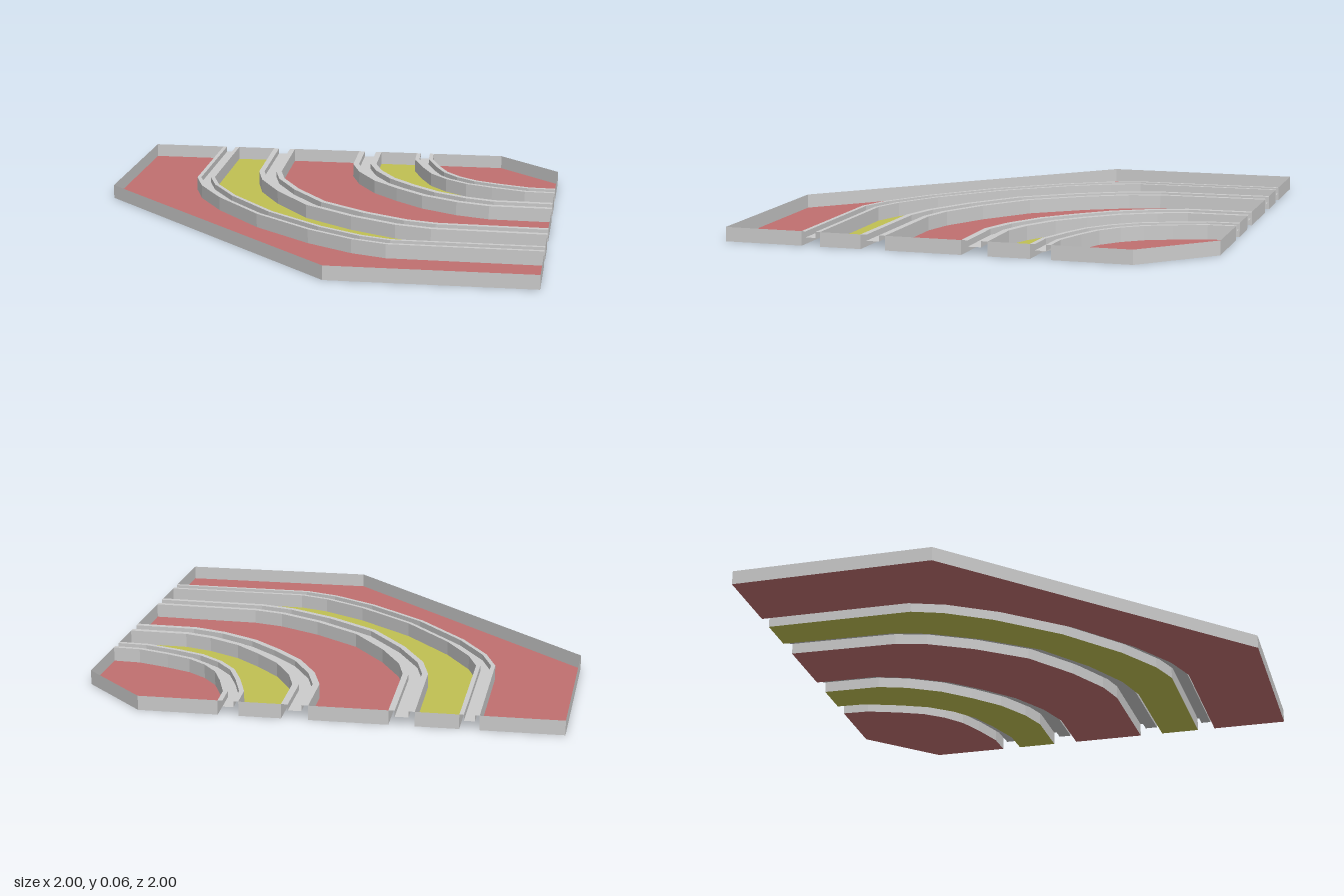
import * as THREE from 'three';

const HEIGHT = 0.06;
const GROOVE_Y = 0.035;
const grey = new THREE.MeshStandardMaterial({ color: 0xcccccc, flatShading: true, side: THREE.DoubleSide });
const red = new THREE.MeshStandardMaterial({ color: 0xc07070, side: THREE.DoubleSide });
const yellow = new THREE.MeshStandardMaterial({ color: 0xc0c052, side: THREE.DoubleSide });

// Half centre lines [x, z] from the back edge to the diagonal, outermost first
const TRACKS = [
  { width: 0.08, groove: 0.044, half: [[-0.625, -1], [-0.615, -0.36], [-0.565, -0.22], [-0.445, -0.025], [-0.23, 0.23]] },
  { width: 0.105, groove: 0.055, half: [[-0.357, -1], [-0.34, -0.52], [-0.3, -0.375], [-0.195, -0.18], [-0.035, 0.035]] },
  { width: 0.11, groove: 0.055, half: [[0.072, -1], [0.08, -0.735], [0.125, -0.6], [0.212, -0.448], [0.325, -0.325]] },
  { width: 0.085, groove: 0.045, half: [[0.343, -1], [0.35, -0.875], [0.4, -0.73], [0.45, -0.615], [0.523, -0.523]] },
];

// Mirror a half line across the diagonal x = -z
function mirrorLine(half) {
  return [...half, ...half.slice(0, -1).reverse().map(([x, z]) => [-z, -x])];
}

// Shift a line sideways with mitred corners; positive is toward the outer corner
function offset(line, d) {
  const normal = (a, b) => new THREE.Vector2(a[1] - b[1], b[0] - a[0]).normalize();
  return line.map((p, i) => {
    if (i === 0) return [p[0] - d, p[1]];
    if (i === line.length - 1) return [p[0], p[1] + d];
    const n1 = normal(line[i - 1], p);
    const n = n1.clone().add(normal(p, line[i + 1])).normalize();
    const k = d / n.dot(n1);
    return [p[0] + n.x * k, p[1] + n.y * k];
  });
}

// Sheet spanned between successive rows of [x, y, z] points
function loft(rows) {
  const n = rows[0].length;
  const index = [];
  for (let r = 0; r < rows.length - 1; r++) {
    for (let i = 0; i < n - 1; i++) {
      const a = r * n + i, b = a + n;
      index.push(a, b, a + 1, a + 1, b, b + 1);
    }
  }
  const geometry = new THREE.BufferGeometry();
  geometry.setAttribute('position', new THREE.Float32BufferAttribute(rows.flat(2), 3));
  geometry.setIndex(index);
  geometry.computeVertexNormals();
  return geometry;
}

const atHeight = (line, y) => line.map(([x, z]) => [x, y, z]);

function addMesh(parent, name, geometry, material) {
  const mesh = new THREE.Mesh(geometry, material);
  mesh.name = name;
  parent.add(mesh);
}

// Open tray: coloured floor with a thin upright wall all round
function makeTray(name, outline, material) {
  const tray = new THREE.Group();
  tray.name = name;
  const shape = new THREE.Shape(outline.map(([x, z]) => new THREE.Vector2(x, -z)));
  addMesh(tray, 'floor', new THREE.ShapeGeometry(shape).rotateX(-Math.PI / 2), material);
  const loop = [...outline, outline[0]];
  addMesh(tray, 'wall', loft([atHeight(loop, 0), atHeight(loop, HEIGHT)]), grey);
  return tray;
}

export function createModel() {
  const model = new THREE.Group();
  model.name = 'curvedTrackTile';

  // Boundary lines ordered from the outer corner of the tile to the inner one
  const bounds = [[[-1, -1], [-1, -0.145], [0.145, 1], [1, 1]]];

  // Grooved rails, open at the ends and underneath
  TRACKS.forEach(({ width, groove, half }, i) => {
    const line = mirrorLine(half);
    const outer = offset(line, width / 2), inner = offset(line, -width / 2);
    const lipOut = offset(line, groove / 2), lipIn = offset(line, -groove / 2);
    addMesh(model, `rail${i + 1}`, loft([
      atHeight(outer, HEIGHT), atHeight(lipOut, HEIGHT), atHeight(lipOut, GROOVE_Y),
      atHeight(lipIn, GROOVE_Y), atHeight(lipIn, HEIGHT), atHeight(inner, HEIGHT),
    ]), grey);
    bounds.push(outer, inner);
  });
  bounds.push([[0.715, -1], [1, -0.715]]);

  // Trays fill the ground between the rails
  for (let i = 0; i < bounds.length; i += 2) {
    const outline = [...bounds[i], ...bounds[i + 1].slice().reverse()];
    const sleeper = i % 4 === 2;
    model.add(makeTray(sleeper ? `trackBed${i / 2}` : `ground${i / 2}`, outline, sleeper ? yellow : red));
  }
  return model;
}
